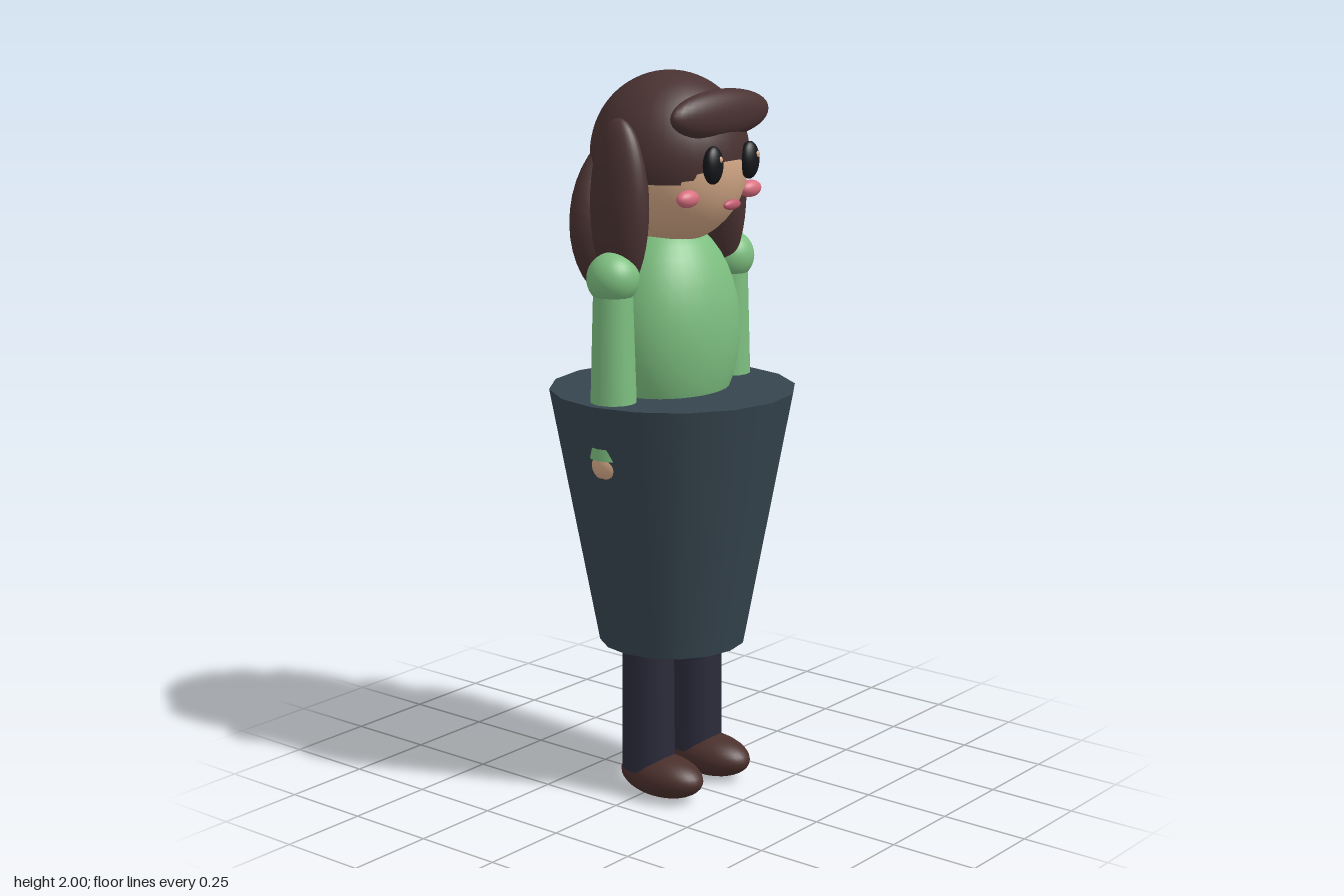
import * as THREE from 'three';

const mat = (name, color) => {
  const m = new THREE.MeshStandardMaterial({ color });
  m.name = name;
  return m;
};

export function createModel() {
  const model = new THREE.Group();
  model.name = 'figure';

  const charcoal = mat('charcoal', 0x36454f);
  const green = mat('green', 0x7dbf80);
  const brown = mat('hair brown', 0x4a3232);
  const shoeBrown = mat('shoe brown', 0x4b302c);
  const navy = mat('dark navy', 0x2b2b3b);
  const skin = mat('skin', 0xd6aa88);
  const black = mat('black', 0x15161a);
  const pink = mat('pink', 0xd9707f);
  const rose = mat('rose', 0xc45c70);

  const add = (name, geometry, material, x, y, z) => {
    const mesh = new THREE.Mesh(geometry, material);
    mesh.name = name;
    mesh.position.set(x, y, z);
    model.add(mesh);
    return mesh;
  };
  const ellipsoid = (name, material, [x, y, z], [rx, ry, rz], thetaLength = Math.PI) =>
    add(name, new THREE.SphereGeometry(1, 32, 20, 0, Math.PI * 2, 0, thetaLength)
      .scale(rx, ry, rz), material, x, y, z);

  // Flared skirt, closed at both ends
  add('skirt', new THREE.CylinderGeometry(0.337, 0.203, 0.715, 16), charcoal, 0, 0.787, 0);

  // Body and head
  ellipsoid('torso', green, [0, 1.3, 0], [0.21, 0.3, 0.165]);
  ellipsoid('head', skin, [0, 1.76, 0], [0.2, 0.22, 0.204]);
  ellipsoid('mouth', rose, [0, 1.66, 0.2], [0.035, 0.014, 0.011]);

  // Hair cap ends in a hairline just below the eyes' centre
  const cap = ellipsoid('hairCap', brown, [0, 1.78, -0.01], [0.215, 0.22, 0.213], Math.acos(-0.06 / 0.22));
  cap.material.side = THREE.DoubleSide;
  ellipsoid('fringe', brown, [0, 1.895, 0.16], [0.203, 0.065, 0.045]);
  ellipsoid('backHair', brown, [0, 1.6, -0.138], [0.24, 0.245, 0.095]);

  // Mirrored parts
  for (const s of [1, -1]) {
    const side = s > 0 ? 'left' : 'right';
    ellipsoid(side + 'SideHair', brown, [s * 0.21, 1.66, -0.01], [0.056, 0.23, 0.09]);
    ellipsoid(side + 'Eye', black, [s * 0.078, 1.77, 0.197], [0.034, 0.05, 0.022]);
    ellipsoid(side + 'EyeHighlight', skin, [s * 0.08 + 0.01, 1.785, 0.215], [0.008, 0.009, 0.005]);
    ellipsoid(side + 'Cheek', pink, [s * 0.135, 1.685, 0.158], [0.04, 0.023, 0.022]);

    ellipsoid(side + 'Shoulder', green, [s * 0.25, 1.475, 0], [0.07, 0.07, 0.07]);
    add(side + 'Arm', new THREE.CylinderGeometry(0.052, 0.066, 0.465, 16), green, s * 0.25, 1.2275, 0);
    ellipsoid(side + 'Hand', skin, [s * 0.25, 0.98, 0], [0.061, 0.061, 0.061]);

    add(side + 'Leg', new THREE.CylinderGeometry(0.07, 0.074, 0.5, 16), navy, s * 0.107, 0.33, 0);
    ellipsoid(side + 'Shoe', shoeBrown, [s * 0.107, 0.064, 0.048], [0.077, 0.06, 0.133]);
  }
  return model;
}
